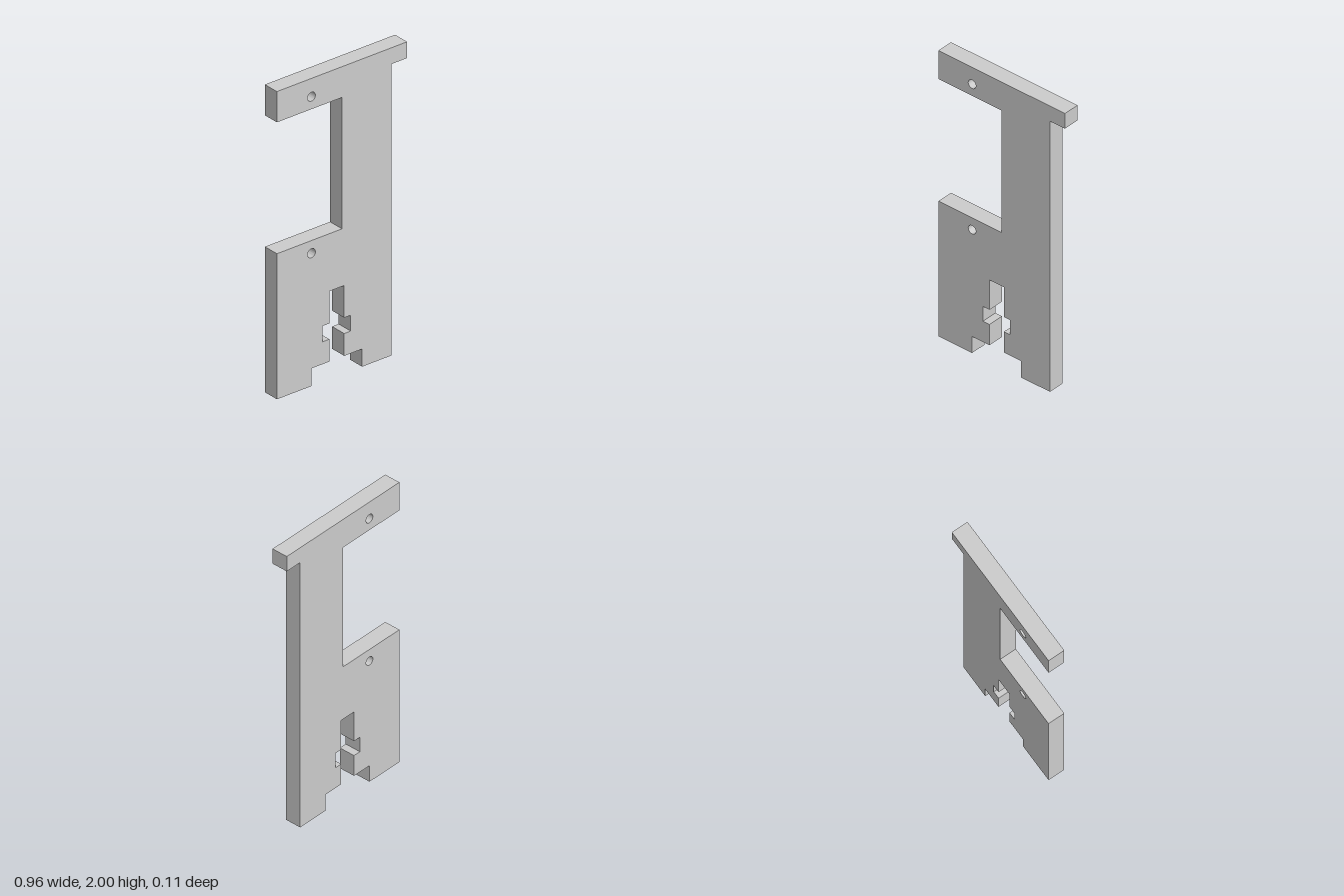
import * as THREE from 'three';
import { toCreasedNormals } from 'three/addons/utils/BufferGeometryUtils.js';

const THICKNESS = 0.11;
const HOLE_RADIUS = 0.029;

export function createModel() {
  const group = new THREE.Group();
  group.name = 'bracketPlate';

  // Outline, counter-clockwise from the lower left corner
  const outline = [
    [-0.48, 0], [-0.225, 0], [-0.225, 0.115],
    // stepped slot in the bottom edge
    [-0.093, 0.115], [-0.093, 0.26], [-0.143, 0.26], [-0.143, 0.363], [-0.093, 0.363], [-0.093, 0.572],
    [0.016, 0.572], [0.016, 0.363], [0.064, 0.363], [0.064, 0.26], [0.016, 0.26], [0.016, 0.115],
    [0.148, 0.115], [0.148, 0], [0.366, 0],
    // upright and top lip
    [0.366, 1.894], [0.48, 1.894], [0.48, 2], [-0.48, 2],
    // upper arm and side opening
    [-0.48, 1.8], [0, 1.8], [0, 0.946], [-0.48, 0.946],
  ];
  const shape = new THREE.Shape(outline.map(([x, y]) => new THREE.Vector2(x, y)));

  // Pin holes
  for (const y of [0.863, 1.881]) {
    shape.holes.push(new THREE.Path().absarc(-0.225, y, HOLE_RADIUS, 0, Math.PI * 2, true));
  }

  const extruded = new THREE.ExtrudeGeometry(shape, { depth: THICKNESS, bevelEnabled: false, curveSegments: 32 });
  extruded.translate(0, 0, -THICKNESS / 2);
  const plate = new THREE.Mesh(
    toCreasedNormals(extruded, Math.PI / 6),
    new THREE.MeshStandardMaterial({ color: 0xcccccc }),
  );
  plate.name = 'plate';
  group.add(plate);
  return group;
}
